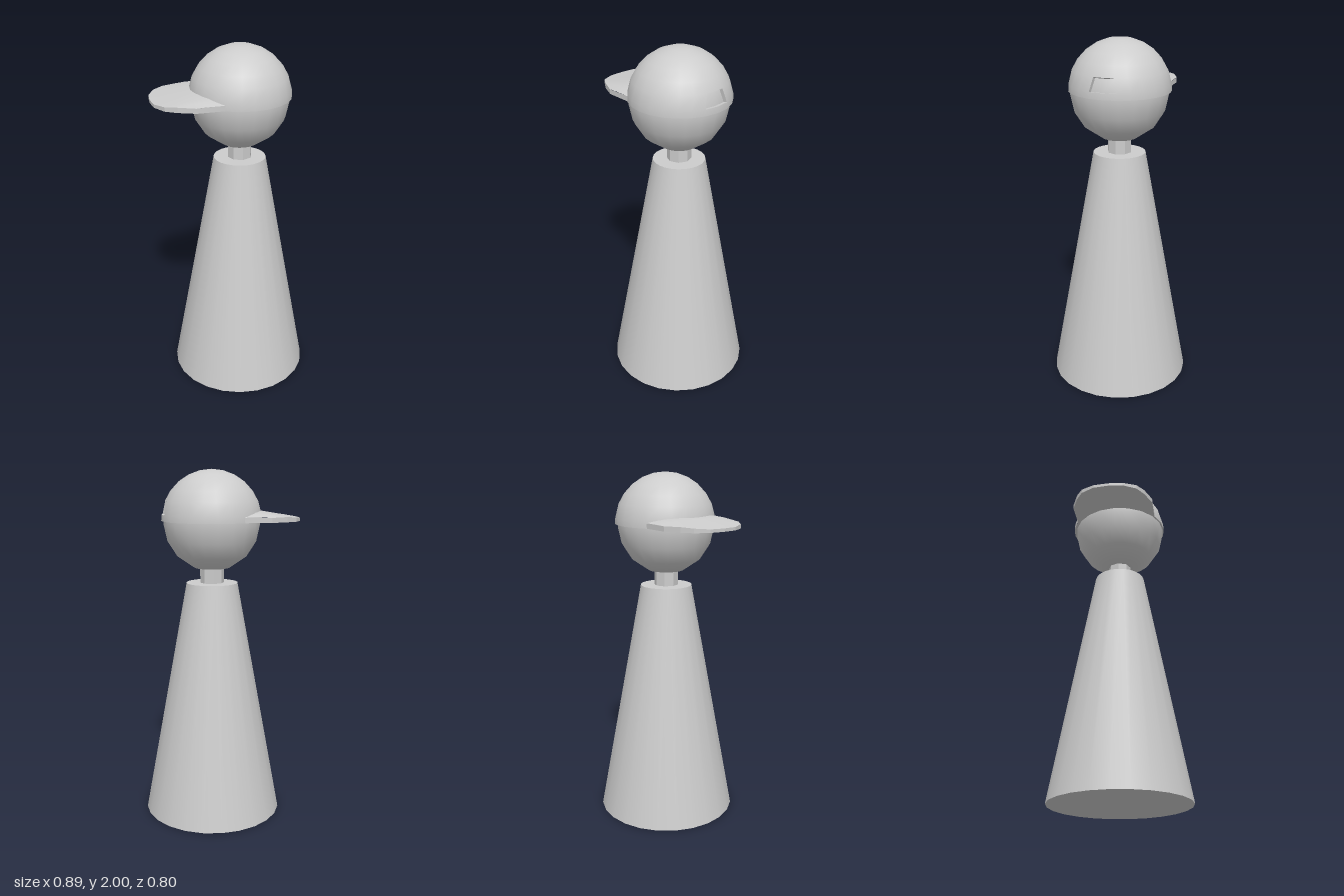
import * as THREE from 'three';

const CX = 0.046;      // axis of the figure
const R = 0.283;       // cap radius
const R_IN = 0.264;    // depth of the recess in the cap

const grey = new THREE.MeshStandardMaterial({ color: 0xcccccc });
grey.name = 'plain grey';

// Grid surface: fn(i, j) returns [x, y, z]; it faces along du x dv
function patch(nu, nv, fn, mode = 'smooth') {
  const pos = [], index = [];
  for (let j = 0; j <= nv; j++) for (let i = 0; i <= nu; i++) pos.push(...fn(i, j));
  for (let j = 0; j < nv; j++) {
    for (let i = 0; i < nu; i++) {
      const a = j * (nu + 1) + i, d = a + nu + 1;
      index.push(a, a + 1, d + 1, a, d + 1, d);
    }
  }
  let geo = new THREE.BufferGeometry();
  geo.setAttribute('position', new THREE.Float32BufferAttribute(pos, 3));
  geo.setIndex(index);
  if (mode === 'flat') geo = geo.toNonIndexed();
  geo.computeVertexNormals();
  if (mode === 'radial') {
    const p = geo.attributes.position, n = geo.attributes.normal, v = new THREE.Vector3();
    for (let i = 0; i < p.count; i++) {
      v.fromBufferAttribute(p, i).normalize();
      n.setXYZ(i, v.x, v.y, v.z);
    }
  }
  return geo;
}

function add(parent, name, geo, x = 0, y = 0, z = 0) {
  const mesh = new THREE.Mesh(geo, grey);
  mesh.name = name;
  mesh.position.set(x, y, z);
  parent.add(mesh);
  return mesh;
}

function buildCap() {
  const cap = new THREE.Group();
  cap.name = 'cap';
  const rows = [0, 0.124, 0.4, 0.63, 0.87, 1.1, 1.34, Math.PI / 2];
  const [, e1, e2] = rows;
  const a1 = 0.271, a2 = 0.214;              // half angles of the opening
  const half = (e) => (e <= e1 ? a1 : a2);
  const at = (a, e, r) => [
    r * Math.cos(e) * Math.cos(a), r * Math.sin(e), -r * Math.cos(e) * Math.sin(a)];
  const sector = (r, first) => (i, j) => {
    const e = rows[first + j];
    return at((i - 1) * half(e), e, r);
  };

  // Dome around the opening, then the strips below and above it
  add(cap, 'capDome', patch(22, rows.length - 1, (i, j) => {
    const h = half(rows[j]);
    return at(h + (2 * Math.PI - 2 * h) * i / 22, rows[j], R);
  }, 'radial'));
  add(cap, 'capStripBelowOpening', patch(2, 1, sector(R, 0), 'radial'));
  add(cap, 'capStripAboveOpening', patch(2, rows.length - 3, sector(R, 2), 'radial'));

  // Recessed opening
  const loop = [[-a1, e1], [0, e1], [a1, e1], [a2, e2], [0, e2], [-a2, e2], [-a1, e1]];
  add(cap, 'openingFrame', patch(6, 1, (i, j) => at(...loop[i], j ? R_IN : R), 'flat'));
  add(cap, 'openingBack', patch(2, 1, sector(R_IN, 1), 'radial'));

  // Underside of the dome edge
  add(cap, 'capLip', patch(24, 1, (i, j) => at(a1 + i * Math.PI / 12, 0, j ? R : 0.25), 'flat'));

  cap.position.set(CX + 0.002, 1.72, -0.004);
  return cap;
}

function buildBrim() {
  const brim = new THREE.Group();
  brim.name = 'brim';
  const inner = -0.09, wide = 0.238;
  // Outline as [x, z], mirrored across the middle
  const side = [[inner, wide], [-0.25, wide], [-0.34, 0.2], [-0.4, 0.16], [-0.44, 0.085]];
  const path = [
    ...side.map(([x, z]) => [x, -z]), [-0.448, 0], ...side.slice().reverse()];
  const stations = path.slice(1, -1);
  const top = (x, z) => {
    const t = Math.min(1, Math.max(0, (x + 0.445) / 0.24));
    return 0.017 + t * (0.012 + 0.028 * (1 - Math.pow(Math.abs(z) / wide, 4)));
  };
  const n = stations.length - 1, m = 6;
  const along = (i, k) => {
    const [x, z] = stations[i];
    return [x + (inner - x) * k, z];
  };
  add(brim, 'brimTop', patch(n, m, (i, j) => {
    const [x, z] = along(i, j / m);
    return [x, top(x, z), z];
  }));
  add(brim, 'brimUnderside', patch(n, 1, (i, j) => {
    const [x, z] = along(i, 1 - j);
    return [x, 0, z];
  }));
  add(brim, 'brimEdge', patch(path.length - 1, 1, (i, j) => {
    const [x, z] = path[i];
    return [x, j ? top(x, z) : 0, z];
  }, 'flat'));
  brim.position.set(0, 1.72, -0.004);
  return brim;
}

export function createModel() {
  const model = new THREE.Group();
  model.name = 'cappedFigure';

  // Tapered body and faceted neck
  add(model, 'body', new THREE.CylinderGeometry(0.147, 0.4, 1.37, 24), CX, 0.685, 0);
  add(model, 'neck',
    new THREE.CylinderGeometry(0.068, 0.068, 0.16, 8).toNonIndexed(), CX, 1.43, 0)
    .geometry.computeVertexNormals();

  // Head, with its upper half hidden under the cap
  const profile = [[0, -0.268], [0.1, -0.264], [0.197, -0.198], [0.252, -0.112],
    [0.272, -0.02], [0.268, 0.03]].map(([x, y]) => new THREE.Vector2(x, y));
  add(model, 'head', new THREE.LatheGeometry(profile, 20), CX, 1.72, 0);

  model.add(buildCap(), buildBrim());
  return model;
}
